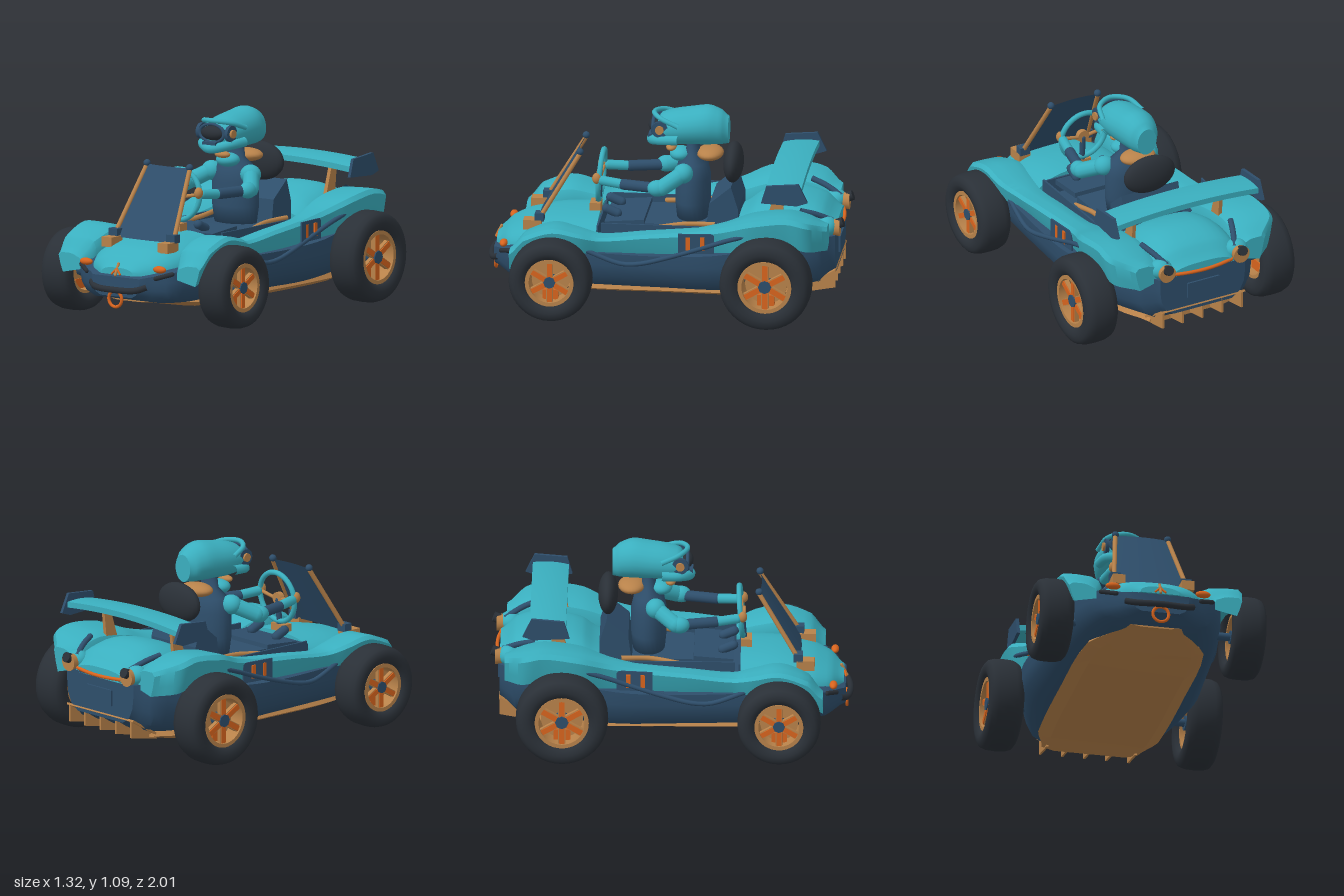
import * as THREE from 'three';
import { toCreasedNormals } from 'three/addons/utils/BufferGeometryUtils.js';

const paint = (name, color, side = THREE.FrontSide) => {
  const m = new THREE.MeshStandardMaterial({ color, side });
  m.name = name;
  return m;
};
const V = (p) => new THREE.Vector3(...p);

// Interpolates station rows so lofts run smoothly between the given sections
function smoothRows(rows, n = 4) {
  const out = [];
  for (let i = 0; i < rows.length - 1; i++) {
    const p = [rows[Math.max(i - 1, 0)], rows[i], rows[i + 1], rows[Math.min(i + 2, rows.length - 1)]];
    for (let j = 0; j < n; j++) {
      const t = j / n;
      out.push(rows[i].map((_, k) => k === 0 ? p[1][0] + (p[2][0] - p[1][0]) * t
        : p[1][k] + 0.5 * t * (p[2][k] - p[0][k] + t * (2 * p[0][k] - 5 * p[1][k] + 4 * p[2][k] - p[3][k]
          + t * (3 * (p[1][k] - p[2][k]) + p[3][k] - p[0][k])))));
    }
  }
  out.push(rows[rows.length - 1]);
  return out;
}

// Capped loft from front (+z) to back; section(row) gives a counter-clockwise ring of [x, y]
function loft(rows, section, crease = 0.6) {
  const rings = smoothRows(rows).map((r) => section(r).map(([x, y]) => [x, y, r[0]]));
  const n = rings[0].length, pos = rings.flat(2), idx = [];
  for (let i = 0; i < rings.length - 1; i++) for (let k = 0; k < n; k++) {
    const a = i * n + k, b = i * n + (k + 1) % n;
    idx.push(a, a + n, b, b, a + n, b + n);
  }
  [0, rings.length - 1].forEach((r, end) => {
    const c = pos.length / 3;
    pos.push(...[0, 1, 2].map((k) => rings[r].reduce((s, p) => s + p[k], 0) / n));
    for (let k = 0; k < n; k++) {
      const a = r * n + k, b = r * n + (k + 1) % n;
      idx.push(c, end ? b : a, end ? a : b);
    }
  });
  const g = new THREE.BufferGeometry();
  g.setAttribute('position', new THREE.Float32BufferAttribute(pos, 3));
  g.setIndex(idx);
  return toCreasedNormals(g, crease);
}

// Mirrored copy across x with corrected winding
function mirrored(geo) {
  const g = geo.index ? geo.toNonIndexed() : geo.clone();
  g.scale(-1, 1, 1);
  for (const a of [g.attributes.position, g.attributes.normal]) {
    for (let i = 0; i < a.count; i += 3) {
      const p = new THREE.Vector3().fromBufferAttribute(a, i), q = new THREE.Vector3().fromBufferAttribute(a, i + 2);
      a.setXYZ(i, q.x, q.y, q.z);
      a.setXYZ(i + 2, p.x, p.y, p.z);
    }
  }
  return g;
}

// Shape helpers
const box = (w, h, d, p, rx = 0) => new THREE.BoxGeometry(w, h, d).rotateX(rx).translate(...p);
const ball = (rx, ry, rz, p) => new THREE.SphereGeometry(1, 24, 16).scale(rx, ry, rz).translate(...p);
const tube = (pts, r) => new THREE.TubeGeometry(new THREE.CatmullRomCurve3(pts.map(V)), 24, r, 10);
function limb(a, b, r) {
  const d = V(b).sub(V(a)), len = d.length();
  const q = new THREE.Quaternion().setFromUnitVectors(new THREE.Vector3(0, 1, 0), d.normalize());
  const mid = V(a).add(V(b)).multiplyScalar(0.5);
  return new THREE.CapsuleGeometry(r, len, 5, 12).applyQuaternion(q).translate(mid.x, mid.y, mid.z);
}
// Plate drawn in (z, y) and extruded across x
function sidePlate(pts, width, x) {
  const s = new THREE.Shape(pts.map(([z, y]) => new THREE.Vector2(-z, y)));
  return new THREE.ExtrudeGeometry(s, { depth: width, bevelEnabled: false })
    .rotateY(Math.PI / 2).translate(x - width / 2, 0, 0);
}

export function createModel() {
  const teal = paint('teal', 0x3aafbf), navy = paint('navy', 0x2e4e6b, THREE.DoubleSide);
  const rubber = paint('rubber', 0x2a3037), tan = paint('tan', 0xb8824a), orange = paint('orange', 0xd8641e);
  const car = new THREE.Group();
  car.name = 'buggy';
  const put = (name, geo, mat, pair = false) => {
    const sides = pair ? [['left', geo], ['right', mirrored(geo)]] : [['', geo]];
    for (const [side, g] of sides) {
      const m = new THREE.Mesh(g, mat);
      m.name = side ? `${name} ${side}` : name;
      car.add(m);
    }
  };

  // Lower hull
  put('hull', loft([[0.96, 0.16, 0.17, 0.28], [0.85, 0.33, 0.14, 0.32], [0.65, 0.41, 0.13, 0.35], [0.4, 0.45, 0.13, 0.36],
    [0, 0.475, 0.13, 0.36], [-0.3, 0.49, 0.13, 0.38], [-0.6, 0.44, 0.14, 0.42], [-0.86, 0.36, 0.17, 0.45], [-0.95, 0.27, 0.22, 0.45]],
  ([, w, b, t]) => {
    const h = t - b, half = [[0.68 * w, b], [0.87 * w, b + 0.15 * h], [0.97 * w, b + 0.4 * h], [w, b + 0.7 * h], [w, t]];
    return [...half, ...half.map(([x, y]) => [-x, y]).reverse()];
  }, 0.7), navy);

  // Floor pan and rear diffuser
  put('floorPan', loft([[0.84, 0.15, 0.13], [0.58, 0.33, 0.095], [0, 0.35, 0.09], [-0.6, 0.34, 0.09], [-0.82, 0.27, 0.115]],
    ([, w, b]) => [[w - 0.07, b], [w, (b + 0.15) / 2], [w - 0.02, 0.15], [0.02 - w, 0.15], [-w, (b + 0.15) / 2], [0.07 - w, b]], 0.4), tan);
  put('diffuserPlate', box(0.54, 0.012, 0.2, [0, 0.195, -0.865], 0.53), tan);
  for (let i = -2; i <= 2; i++) {
    put('diffuserFin', sidePlate([[-0.76, 0.11], [-0.95, 0.145], [-0.95, 0.25], [-0.78, 0.17]], 0.012, i * 0.125), tan);
  }

  // Hood and rear deck
  const dome = ([, w, b, t]) => Array.from({ length: 17 }, (_, i) => {
    const a = i / 16 * Math.PI, c = Math.cos(a);
    return [w * Math.sign(c) * Math.abs(c) ** 0.75, b + (t - b) * Math.max(Math.sin(a), 0) ** 0.8];
  });
  put('hood', loft([[0.95, 0.11, 0.29, 0.33], [0.88, 0.22, 0.29, 0.385], [0.78, 0.28, 0.3, 0.43], [0.6, 0.32, 0.3, 0.465], [0.38, 0.32, 0.3, 0.475]], dome), teal);
  put('rearDeck', loft([[-0.4, 0.28, 0.38, 0.5], [-0.5, 0.28, 0.4, 0.575], [-0.7, 0.28, 0.42, 0.62], [-0.86, 0.27, 0.43, 0.58], [-0.95, 0.2, 0.44, 0.5]], dome), teal);
  put('dashboard', box(0.5, 0.1, 0.01, [0, 0.4, 0.375]), navy);

  // Fenders joined by the side pods
  put('sideBody', loft([[0.84, 0.33, 0.49, 0.25, 0.36], [0.76, 0.29, 0.505, 0.31, 0.45], [0.6, 0.27, 0.51, 0.37, 0.503], [0.45, 0.28, 0.5, 0.36, 0.475],
    [0.34, 0.28, 0.46, 0.35, 0.445], [0.1, 0.28, 0.455, 0.355, 0.47], [-0.2, 0.28, 0.455, 0.365, 0.5], [-0.35, 0.265, 0.475, 0.38, 0.535],
    [-0.5, 0.25, 0.53, 0.42, 0.59], [-0.7, 0.25, 0.53, 0.45, 0.615], [-0.82, 0.25, 0.52, 0.42, 0.59], [-0.92, 0.25, 0.41, 0.4, 0.54]],
  ([, i, o, b, t]) => {
    const h = t - b;
    return [[o - 0.03, b], [o - 0.015, b + 0.35 * h], [o, t - 0.15 * h], [o - 0.02, t], [o - 0.08, t],
      [i + 0.06, t - 0.04 * h], [i + 0.015, t - 0.2 * h], [i, t - 0.45 * h], [i, b + 0.25 * h]];
  }, 0.6), teal, true);

  // Cockpit lining, door panels and side rails
  put('cockpitWall', box(0.012, 0.14, 0.74, [0.27, 0.405, -0.02]), navy, true);
  put('cockpitTrim', tube([[0.24, 0.48, -0.28], [0.215, 0.47, -0.12], [0.24, 0.45, 0.05]], 0.014), tan, true);
  put('doorPanel', new THREE.BoxGeometry(0.009, 0.115, 0.2).rotateY(0.1).translate(0.468, 0.44, -0.2).rotateY(0), navy, true);
  for (const z of [-0.155, -0.235]) {
    put('doorStripe', new THREE.BoxGeometry(0.008, 0.075, 0.024).translate(0.476, 0.442, z), orange, true);
  }
  put('sideRail', tube([[0.45, 0.37, 0.41], [0.47, 0.31, 0.22], [0.48, 0.315, 0.12], [0.48, 0.35, -0.02], [0.475, 0.42, -0.24], [0.485, 0.465, -0.36], [0.5, 0.505, -0.48]], 0.013), navy, true);

  // Windshield with posts and mounts
  const pane = new THREE.PlaneGeometry(2, 1, 8, 1), pp = pane.attributes.position;
  for (let i = 0; i < pp.count; i++) {
    const u = pp.getX(i), v = pp.getY(i) + 0.5;
    pp.setXYZ(i, u * (0.205 - 0.06 * v), 0.455 + 0.385 * v, 0.7 - 0.22 * v + 0.015 * (1 - u * u));
  }
  pane.computeVertexNormals();
  put('windshield', pane, navy);
  put('windshieldPost', limb([0.205, 0.47, 0.7], [0.15, 0.83, 0.485], 0.013), tan, true);
  put('postCap', ball(0.02, 0.02, 0.02, [0.148, 0.845, 0.482]), navy, true);
  put('postMount', box(0.07, 0.055, 0.1, [0.195, 0.435, 0.74]), tan, true);
  put('mountClamp', box(0.06, 0.045, 0.05, [0.2, 0.48, 0.7]), navy, true);

  // Nose details
  put('frontBumper', tube([[-0.19, 0.235, 0.93], [-0.14, 0.215, 0.965], [0, 0.21, 0.985], [0.14, 0.215, 0.965], [0.19, 0.235, 0.93]], 0.018), rubber);
  put('bumperEnd', limb([0.24, 0.285, 0.91], [0.315, 0.31, 0.86], 0.013), rubber, true);
  put('frontLamp', ball(0.042, 0.02, 0.022, [0.255, 0.335, 0.895]), orange, true);
  put('towRing', new THREE.TorusGeometry(0.045, 0.009, 10, 28).translate(0, 0.157, 0.965), orange);
  put('noseFin', limb([0, 0.29, 0.965], [0, 0.35, 0.935], 0.008), tan);
  put('noseBrace', limb([0.028, 0.295, 0.96], [0, 0.325, 0.95], 0.006), orange, true);

  // Tail details
  put('tailPod', ball(0.065, 0.055, 0.06, [0.24, 0.495, -0.9]), teal, true);
  put('tailGroove', tube([[0.285, 0.594, -0.76], [0.255, 0.568, -0.84], [0.215, 0.522, -0.93]], 0.016), navy, true);
  put('tailLamp', new THREE.CylinderGeometry(0.042, 0.05, 0.05, 18).rotateX(Math.PI / 2).translate(0.235, 0.49, -0.95), tan, true);
  put('tailLampCore', new THREE.CylinderGeometry(0.028, 0.028, 0.07, 16).rotateX(-1.2).translate(0.235, 0.51, -0.96), rubber, true);
  put('tailStrip', tube([[-0.19, 0.463, -0.945], [-0.1, 0.46, -0.962], [0, 0.458, -0.968], [0.1, 0.46, -0.962], [0.19, 0.463, -0.945]], 0.01), orange);
  put('tailPlate', box(0.2, 0.09, 0.012, [0, 0.345, -0.955]), navy);

  // Rear wing
  const wing = new THREE.BoxGeometry(0.91, 0.032, 0.2, 14, 1, 6), wp = wing.attributes.position;
  for (let i = 0; i < wp.count; i++) {
    const x = wp.getX(i), z = wp.getZ(i);
    wp.setXYZ(i, x, wp.getY(i) + 0.771 - 0.12 * x * x - 0.06 * z - z * z, z - 0.68);
  }
  put('rearWing', toCreasedNormals(wing, 0.6), teal);
  put('wingEndPlate', sidePlate([[-0.56, 0.69], [-0.59, 0.79], [-0.77, 0.805], [-0.82, 0.7], [-0.76, 0.68]], 0.018, 0.46), navy, true);
  put('wingStrut', sidePlate([[-0.58, 0.57], [-0.64, 0.76], [-0.68, 0.76], [-0.66, 0.57]], 0.022, 0.275), tan, true);

  // Seat and headrest
  put('seatBack', sidePlate([[-0.22, 0.42], [-0.24, 0.58], [-0.36, 0.68], [-0.4, 0.55], [-0.4, 0.42]], 0.36, 0), navy);
  put('seatBase', box(0.38, 0.07, 0.34, [0, 0.42, -0.05]), navy);
  put('lapPanel', box(0.4, 0.03, 0.22, [0, 0.455, 0.23], 0.08), navy);
  put('headrest', ball(0.16, 0.11, 0.055, [0, 0.77, -0.355]), rubber);

  // Steering
  put('steeringWheel', new THREE.TorusGeometry(0.14, 0.015, 10, 36).rotateX(-0.08).translate(0, 0.67, 0.38), teal);
  put('steeringHub', new THREE.CylinderGeometry(0.035, 0.035, 0.03, 18).rotateX(Math.PI / 2).translate(0, 0.66, 0.39), tan);
  put('steeringSpoke', limb([0.03, 0.66, 0.385], [0.13, 0.68, 0.38], 0.01), tan, true);
  put('steeringColumn', limb([0, 0.65, 0.385], [0, 0.47, 0.4], 0.016), navy);
  put('columnBox', box(0.1, 0.06, 0.06, [0, 0.485, 0.41]), tan);

  // Driver body
  const torso = [[0, 0.44], [0.13, 0.45], [0.145, 0.55], [0.145, 0.69], [0.12, 0.77], [0.06, 0.82], [0.05, 0.9]];
  put('torso', new THREE.LatheGeometry(torso.map((p) => new THREE.Vector2(...p)), 24).scale(1, 1, 0.68).translate(0, 0, -0.13), navy);
  put('collar', ball(0.105, 0.038, 0.075, [0, 0.82, -0.225]), tan);
  put('scarf', ball(0.07, 0.04, 0.06, [0, 0.81, -0.06]), teal);
  put('scarfClip', ball(0.05, 0.02, 0.03, [0, 0.845, -0.01]), tan);
  put('shoulder', ball(0.06, 0.055, 0.055, [0.135, 0.735, -0.09]), teal, true);
  put('upperArm', limb([0.145, 0.73, -0.08], [0.22, 0.675, 0.02], 0.045), teal, true);
  put('elbow', ball(0.046, 0.046, 0.055, [0.22, 0.672, 0.045]), teal, true);
  put('forearm', limb([0.205, 0.67, 0.07], [0.165, 0.67, 0.24], 0.03), navy, true);
  put('glove', limb([0.165, 0.67, 0.24], [0.14, 0.68, 0.36], 0.027), teal, true);
  put('knuckles', ball(0.024, 0.032, 0.026, [0.14, 0.69, 0.39]), tan, true);
  put('shoe', limb([0.1, 0.48, 0.28], [0.1, 0.505, 0.34], 0.026), navy, true);

  // Helmet with goggles and chin guard
  put('helmet', loft([[0.075, 0.065, 0.905, 1.0], [0.045, 0.105, 0.88, 1.04], [-0.03, 0.118, 0.868, 1.065], [-0.12, 0.12, 0.87, 1.08],
    [-0.22, 0.112, 0.872, 1.093], [-0.29, 0.09, 0.875, 1.068], [-0.33, 0.06, 0.88, 1.035]],
  ([, w, b, t]) => Array.from({ length: 20 }, (_, i) => {
    const a = i / 20 * Math.PI * 2;
    return [w * Math.cos(a), (b + t) / 2 + (t - b) / 2 * Math.sin(a)];
  }), 0.8), teal);
  put('visor', ball(0.08, 0.042, 0.045, [0, 0.975, 0.072]), rubber);
  put('goggleFrame', new THREE.TorusGeometry(0.07, 0.01, 8, 28).scale(1.2, 0.72, 1).translate(0, 0.975, 0.085), navy);
  put('goggleDisc', new THREE.CylinderGeometry(0.046, 0.046, 0.02, 18).rotateZ(Math.PI / 2).translate(0.1, 0.975, 0.045), navy, true);
  put('goggleBolt', new THREE.CylinderGeometry(0.024, 0.024, 0.02, 14).rotateZ(Math.PI / 2).translate(0.112, 0.975, 0.045), tan, true);
  put('brow', tube([[-0.125, 1.0, -0.06], [-0.09, 1.035, 0.04], [0, 1.045, 0.085], [0.09, 1.035, 0.04], [0.125, 1.0, -0.06]], 0.014), teal);
  put('chinGuard', tube([[-0.115, 0.92, -0.06], [-0.09, 0.91, 0.05], [0, 0.89, 0.1], [0.09, 0.91, 0.05], [0.115, 0.92, -0.06]], 0.028), teal);
  put('chinVent', box(0.09, 0.016, 0.02, [0, 0.92, 0.105]), navy);

  // Wheels: tyre, rim barrel, spokes and hub
  const lathe = (pts) => new THREE.LatheGeometry(pts.map((p) => new THREE.Vector2(...p)), 40).rotateZ(-Math.PI / 2);
  function wheel(name, x, z, R, w) {
    const r = R * 0.57;
    const half = [[r, 0.7 * w], [r + 0.015, 0.9 * w], [R * 0.75, w], [R * 0.87, 0.95 * w], [R * 0.95, 0.8 * w], [R * 0.99, 0.5 * w]];
    const tread = [...half.map(([a, b]) => [a, -b]), [R, 0], ...half.slice().reverse(), [r, -0.7 * w]];
    const parts = [
      ['tyre', lathe(tread), rubber],
      ['rim', toCreasedNormals(lathe([[r - 0.018, -0.7 * w], [r + 0.004, -0.7 * w], [r + 0.004, 0.8 * w], [r - 0.018, 0.8 * w], [r - 0.018, -0.7 * w]]), 0.6), tan],
      ['brakeDisc', new THREE.CylinderGeometry(r * 0.8, r * 0.8, 0.02, 32).rotateZ(Math.PI / 2).translate(-0.1 * w, 0, 0), tan],
      ['hub', new THREE.CylinderGeometry(r * 0.25, r * 0.3, 1.5 * w, 8).rotateZ(-Math.PI / 2), navy],
      ['caliper', box(0.05, r * 0.42, r * 0.65, [0, -r * 0.62, 0]), orange],
    ];
    for (let i = 0; i < 6; i++) {
      const turn = i * Math.PI / 3;
      parts.push(['spoke', box(0.025, r * 0.78, r * 0.28, [0.5 * w, r * 0.53, 0]).rotateX(turn), tan]);
      parts.push(['spokeInlay', box(0.008, r * 0.72, r * 0.21, [0.5 * w + 0.014, r * 0.53, 0]).rotateX(turn), orange]);
    }
    for (const [part, geo, mat] of parts) put(`${name} ${part}`, geo.translate(x, R, z), mat, true);
    put(`${name} axle`, limb([0.2, R, z], [x, R, z], 0.022), navy, true);
  }
  wheel('frontWheel', 0.545, 0.6, 0.231, 0.097);
  wheel('rearWheel', 0.562, -0.6, 0.256, 0.1);

  return car;
}
